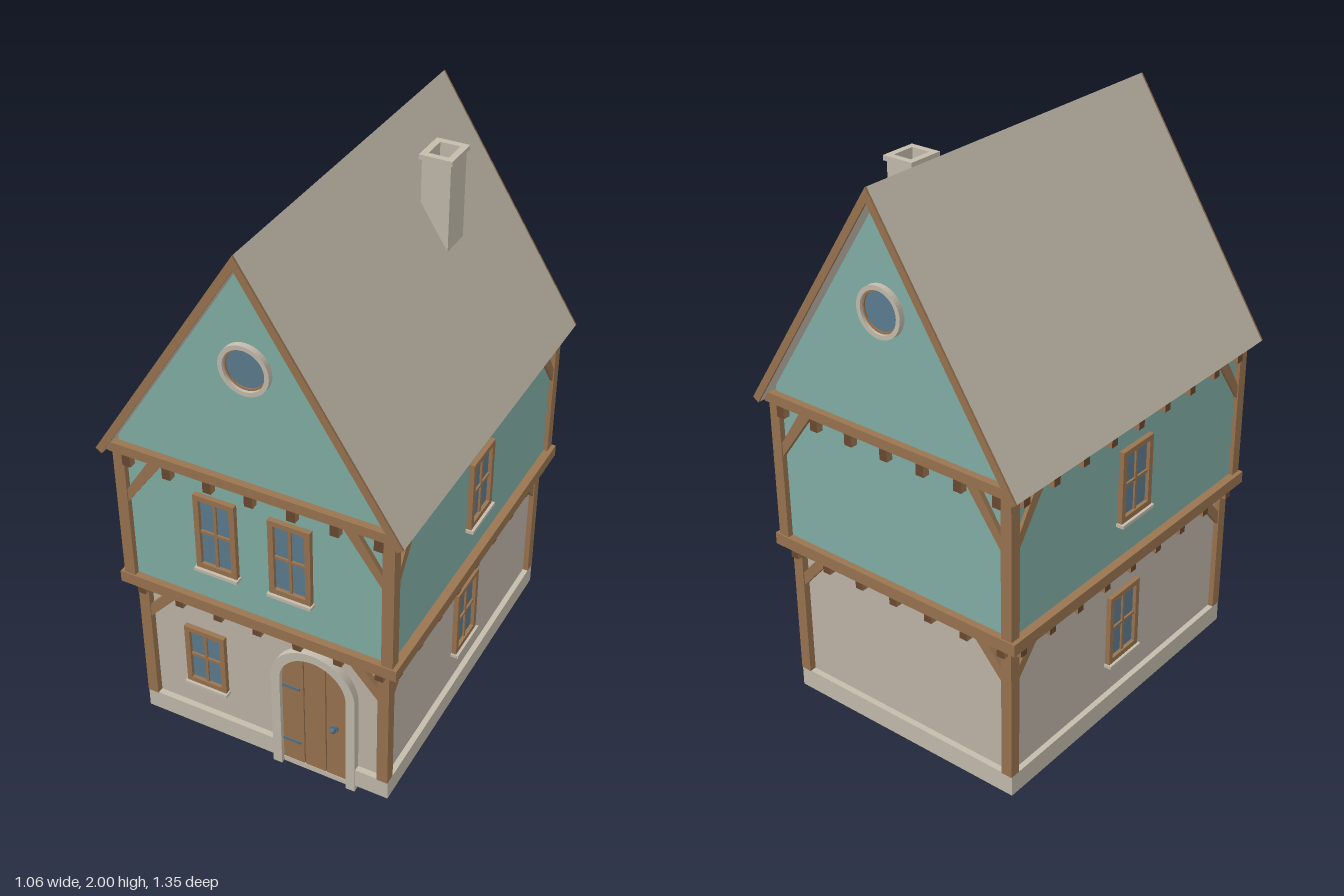
import * as THREE from 'three';

const material = (name, color) => Object.assign(new THREE.MeshStandardMaterial({ color }), { name });

export function createModel() {
  const teal = material('teal plaster', 0x82b0a7);
  const plaster = material('pale plaster', 0xc0b6a9);
  const stone = material('stone', 0xc4bcad);
  const tile = material('roof covering', 0xcac1b2);
  const wood = material('timber', 0x9a7450);
  const dark = material('dark timber', 0x6b4a32);
  const glass = material('window glass', 0x5d7d90);
  const iron = material('iron', 0x587080);

  const house = new THREE.Group();
  house.name = 'house';

  const add = (parent, name, geometry, mat, x = 0, y = 0, z = 0) => {
    const mesh = new THREE.Mesh(geometry, mat);
    mesh.name = name;
    mesh.position.set(x, y, z);
    parent.add(mesh);
    return mesh;
  };
  // Box given by its lower and upper limits on each axis
  const box = (parent, name, mat, [x0, x1], [y0, y1], [z0, z1]) =>
    add(parent, name, new THREE.BoxGeometry(x1 - x0, y1 - y0, z1 - z0), mat,
      (x0 + x1) / 2, (y0 + y1) / 2, (z0 + z1) / 2);
  const polygon = (points) => new THREE.Shape(points.map(([x, y]) => new THREE.Vector2(x, y)));
  const extrude = (shape, depth) =>
    new THREE.ExtrudeGeometry(shape, { depth, bevelEnabled: false, curveSegments: 24 });

  // Base and plinth, with a gap for the doorway
  const doorX = 0.19, springY = 0.4, doorR = 0.122, archR = 0.155;
  box(house, 'base', stone, [-0.41, 0.41], [0, 0.03], [-0.56, 0.56]);
  box(house, 'plinth', stone, [-0.465, 0.465], [0.025, 0.1], [-0.612, 0.585]);
  box(house, 'plinthFront', stone, [-0.465, doorX - 0.13], [0.025, 0.1], [0.585, 0.612]);
  box(house, 'plinthFront', stone, [doorX + 0.13, 0.465], [0.025, 0.1], [0.585, 0.612]);

  // Walls and floor beams
  box(house, 'groundFloorWall', plaster, [-0.445, 0.445], [0.1, 0.615], [-0.59, 0.59]);
  box(house, 'floorBeam', wood, [-0.505, 0.505], [0.615, 0.658], [-0.65, 0.65]);
  box(house, 'upperFloorWall', teal, [-0.475, 0.475], [0.658, 1.155], [-0.625, 0.625]);
  box(house, 'eavesBeam', wood, [-0.505, 0.505], [1.155, 1.19], [-0.65, 0.65]);

  // Timber framing of each storey: posts, braces and joist ends
  const joistMats = [wood, wood, wood, wood, dark, wood];
  const storeys = [
    { y0: 0.1, y1: 0.615, x: 0.465, z: 0.615, wallX: 0.445, wallZ: 0.59, jut: 0.045, drop: 0.155 },
    { y0: 0.658, y1: 1.155, x: 0.49, z: 0.645, wallX: 0.475, wallZ: 0.625, jut: 0.025, drop: 0.19 },
  ];
  for (const s of storeys) {
    for (const sx of [-1, 1]) for (const sz of [-1, 1]) {
      add(house, 'cornerPost', new THREE.BoxGeometry(0.04, s.y1 - s.y0, 0.04), wood,
        sx * (s.x - 0.02), (s.y0 + s.y1) / 2, sz * (s.z - 0.02));
    }
    for (let k = 0; k < 4; k++) {
      const side = new THREE.Group();
      side.name = 'timberSide';
      side.rotation.y = k * Math.PI / 2;
      house.add(side);
      const gable = k % 2 === 0;
      const half = (gable ? s.x : s.z) - 0.04;
      const wall = gable ? s.wallZ : s.wallX;
      const face = (gable ? s.z : s.x) - 0.004;
      for (const m of [-1, 1]) {
        const points = [[0, -s.drop], [0.137, 0], [0.09, 0], [0, -s.drop + 0.05]]
          .map(([x, y]) => [m * (x - half), y + s.y1]);
        add(side, 'brace', extrude(polygon(points), face - wall + 0.01), wood, 0, 0, wall - 0.01);
      }
      const n = gable ? 3 : 4;
      for (let i = -n; i <= n; i++) {
        add(side, 'joistEnd', new THREE.BoxGeometry(0.03, 0.04, s.jut + 0.02), joistMats,
          i * 0.146, s.y1 - 0.02, wall + (s.jut - 0.02) / 2);
      }
    }
  }

  // Gable walls
  add(house, 'gableWall', extrude(polygon([[-0.475, 1.19], [0.475, 1.19], [0.475, 1.214],
    [0, 1.955], [-0.475, 1.214]]), 1.25), teal, 0, 0, -0.625);

  // Roof slabs with timber verges
  const roofShape = polygon([[-0.53, 1.172], [-0.509, 1.157], [0, 1.953], [0.509, 1.157],
    [0.53, 1.172], [0, 2]]);
  add(house, 'roof', extrude(roofShape, 1.336), tile, 0, 0, -0.668);
  for (const z of [-0.675, 0.668]) add(house, 'verge', extrude(roofShape, 0.007), wood, 0, 0, z);

  // Hollow chimney
  const tube = (w, d, h) => {
    const rect = (a, b) => [[-a, -b], [a, -b], [a, b], [-a, b]];
    const shape = polygon(rect(w / 2, d / 2));
    shape.holes.push(polygon(rect(0.034, 0.042)));
    return extrude(shape, h).rotateX(-Math.PI / 2);
  };
  add(house, 'chimney', tube(0.098, 0.115, 0.34), stone, 0.193, 1.59, -0.264);
  add(house, 'chimneyCap', tube(0.113, 0.13, 0.017), stone, 0.193, 1.923, -0.264);

  // Four-pane window facing +z, turned to its wall
  const addWindow = (u, y0, y1, w, wall, angle) => {
    const g = new THREE.Group();
    g.name = 'window';
    g.rotation.y = angle;
    house.add(g);
    const a = u - w / 2, b = u + w / 2, t = 0.019, mid = (y0 + y1) / 2;
    const frameZ = [wall - 0.01, wall + 0.018], barZ = [wall, wall + 0.012];
    box(g, 'glass', glass, [a + t, b - t], [y0 + t, y1 - t], [wall - 0.002, wall + 0.005]);
    for (const x of [a, b - t]) box(g, 'windowFrame', wood, [x, x + t], [y0, y1], frameZ);
    for (const y of [y0, y1 - t]) box(g, 'windowFrame', wood, [a + t, b - t], [y, y + t], frameZ);
    box(g, 'mullion', wood, [u - 0.005, u + 0.005], [y0 + t, y1 - t], barZ);
    box(g, 'transom', wood, [a + t, b - t], [mid - 0.005, mid + 0.005], barZ);
    box(g, 'windowSill', stone, [a - 0.005, b + 0.005], [y0 - 0.012, y0], [wall - 0.01, wall + 0.028]);
  };
  addWindow(-0.223, 0.22, 0.467, 0.153, 0.59, 0);
  for (const x of [-0.132, 0.132]) addWindow(x, 0.795, 1.085, 0.147, 0.625, 0);
  for (const angle of [-Math.PI / 2, Math.PI / 2]) {
    addWindow(0, 0.225, 0.493, 0.165, 0.445, angle);
    addWindow(0, 0.797, 1.06, 0.165, 0.475, angle);
  }

  // Round gable windows
  const ring = (outer, inner, depth) => {
    const shape = new THREE.Shape().absarc(0, 0, outer, 0, Math.PI * 2);
    shape.holes.push(new THREE.Path().absarc(0, 0, inner, 0, Math.PI * 2, true));
    return extrude(shape, depth);
  };
  for (const angle of [0, Math.PI]) {
    const g = new THREE.Group();
    g.name = 'roundWindow';
    g.rotation.y = angle;
    house.add(g);
    add(g, 'stoneRing', ring(0.085, 0.07, 0.03), stone, 0, 1.607, 0.615);
    add(g, 'timberRing', ring(0.07, 0.064, 0.02), wood, 0, 1.607, 0.615);
    add(g, 'glass', new THREE.CircleGeometry(0.066, 40), glass, 0, 1.607, 0.63);
  }

  // Door surround and threshold
  const arch = new THREE.Shape();
  arch.moveTo(archR, 0);
  arch.lineTo(archR, springY);
  arch.absarc(0, springY, archR, 0, Math.PI);
  arch.lineTo(-archR, 0);
  arch.lineTo(-doorR, 0);
  arch.lineTo(-doorR, springY);
  arch.absarc(0, springY, doorR, Math.PI, 0, true);
  arch.lineTo(doorR, 0);
  add(house, 'doorSurround', extrude(arch, 0.047), stone, doorX, 0, 0.57);
  box(house, 'threshold', stone, [doorX - doorR, doorX + doorR], [0, 0.022], [0.55, 0.602]);

  // Door planks over a dark backing
  const plank = (x0, x1, depth) => {
    const points = [[x0, 0.022], [x1, 0.022]];
    for (let i = 0; i <= 12; i++) {
      const x = x1 + (x0 - x1) * i / 12;
      points.push([x, springY + Math.sqrt(Math.max(0, doorR * doorR - x * x))]);
    }
    return extrude(polygon(points), depth);
  };
  add(house, 'doorBacking', plank(-doorR, doorR, 0.01), dark, doorX, 0, 0.584);
  for (let i = 0; i < 3; i++) {
    const w = doorR * 2 / 3, x0 = -doorR + i * w;
    add(house, 'doorPlank', plank(x0 + (i ? 0.002 : 0), x0 + w - (i < 2 ? 0.002 : 0), 0.01), wood, doorX, 0, 0.59);
  }

  // Hinges and handle
  for (const y of [0.115, 0.365]) {
    box(house, 'hinge', iron, [0.07, 0.135], [y - 0.005, y + 0.005], [0.598, 0.605]);
  }
  add(house, 'doorHandlePlate', new THREE.CylinderGeometry(0.014, 0.014, 0.008, 20).rotateX(Math.PI / 2), iron, 0.263, 0.247, 0.603);
  add(house, 'doorKnob', new THREE.SphereGeometry(0.01, 16, 12), iron, 0.263, 0.247, 0.613);

  return house;
}
